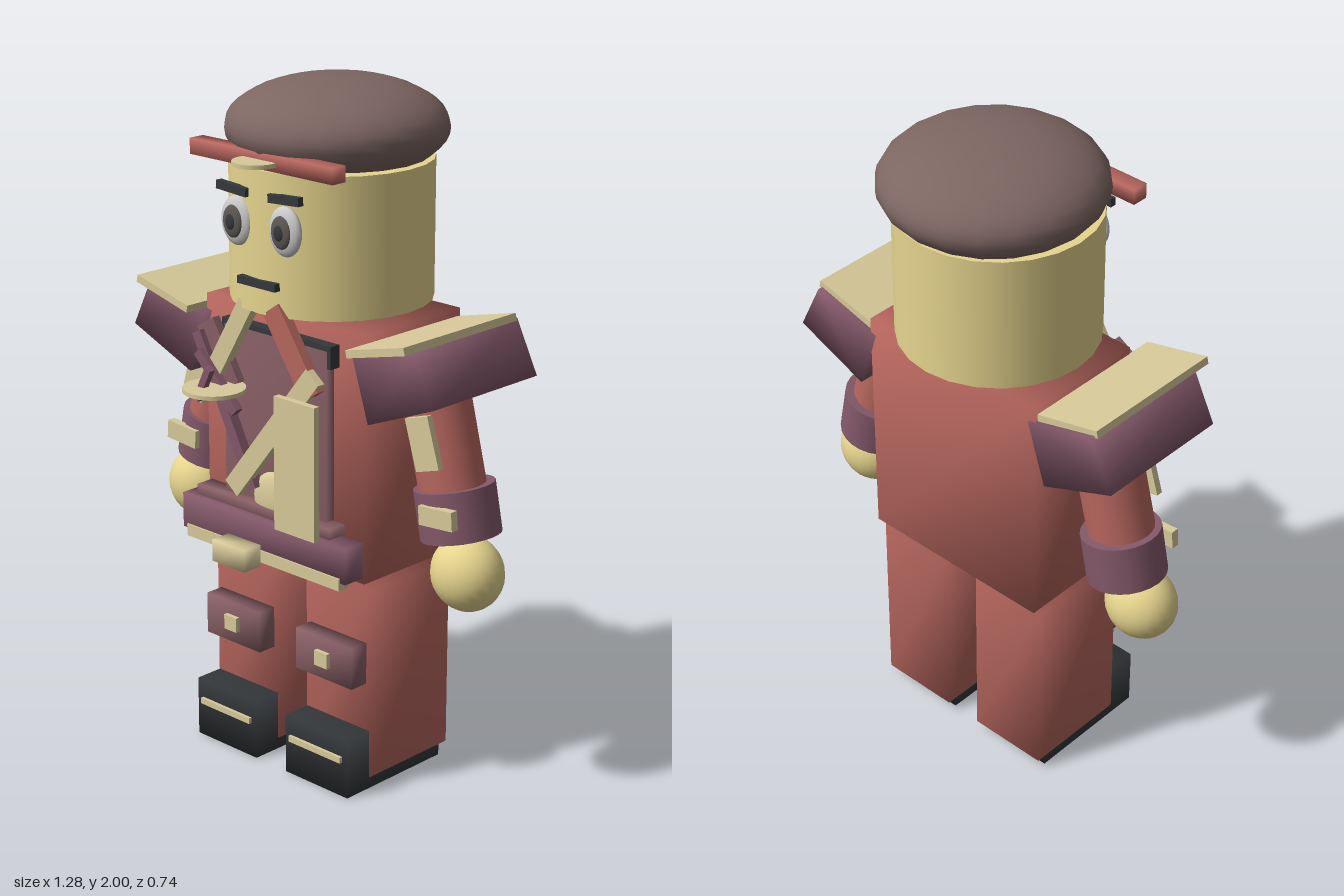
import * as THREE from 'three';
import { mergeVertices } from 'three/addons/utils/BufferGeometryUtils.js';

const material = (color) => new THREE.MeshStandardMaterial({ color });
const SKIN = material(0xe6d58e), GOLD = material(0xd8ca9a), RED = material(0xb8675f), PURPLE = material(0x84596a),
  MAUVE = material(0x875f65), BROWN = material(0x7d6662), DARK = material(0x35383b), WHITE = material(0xe6e6e6), GREY = material(0x5c5854);

// Welds corners so that the blocky parts shade softly
function soften(geometry) {
  geometry.deleteAttribute('normal');
  geometry.deleteAttribute('uv');
  const welded = mergeVertices(geometry, 1e-4);
  welded.computeVertexNormals();
  return welded;
}

export function createModel() {
  const model = new THREE.Group();

  const add = (name, geometry, mat, x, y, z, rotZ = 0) => {
    const mesh = new THREE.Mesh(geometry, mat);
    mesh.name = name;
    mesh.position.set(x, y, z);
    mesh.rotation.z = rotZ;
    model.add(mesh);
    return mesh;
  };
  const box = (name, mat, w, h, d, x, y, z, rotZ = 0) =>
    add(name, new THREE.BoxGeometry(w, h, d), mat, x, y, z, rotZ);
  const softBox = (name, mat, w, h, d, x, y, z, rotZ = 0) =>
    add(name, soften(new THREE.BoxGeometry(w, h, d)), mat, x, y, z, rotZ);
  const ball = (name, mat, rx, ry, rz, x, y, z) => {
    const mesh = add(name, new THREE.SphereGeometry(1, 24, 16), mat, x, y, z);
    mesh.scale.set(rx, ry, rz);
    return mesh;
  };
  const cylinder = (name, mat, r, h, x, y, z, rotZ = 0) =>
    add(name, new THREE.CylinderGeometry(r, r, h, 24), mat, x, y, z, rotZ);
  // Flat bar from one point to another at depth z
  const bar = (name, mat, [x1, y1], [x2, y2], width, depth, z) =>
    box(name, mat, Math.hypot(x2 - x1, y2 - y1), width, depth,
      (x1 + x2) / 2, (y1 + y2) / 2, z, Math.atan2(y2 - y1, x2 - x1));

  // Head and cap
  cylinder('head', SKIN, 0.288, 0.4, 0, 1.58, -0.035);
  const cap = add('cap', new THREE.SphereGeometry(1, 20, 14, 0, Math.PI * 2, 0, 2.18), BROWN, 0, 1.86, -0.055);
  cap.scale.set(0.315, 0.14, 0.315);
  add('capUnderside', new THREE.CircleGeometry(0.258, 20), BROWN, 0, 1.78, -0.055).rotation.x = Math.PI / 2;
  softBox('headband', RED, 0.545, 0.045, 0.05, 0, 1.805, 0.223);
  cylinder('headbandDisc', GOLD, 0.065, 0.012, 0, 1.803, 0.262);

  // Face
  for (const s of [-1, 1]) {
    ball('eyeWhite', WHITE, 0.058, 0.07, 0.024, s * 0.093, 1.625, 0.242);
    ball('iris', GREY, 0.036, 0.046, 0.012, s * 0.093, 1.625, 0.26);
    ball('pupil', DARK, 0.018, 0.023, 0.008, s * 0.093, 1.625, 0.268);
    box('eyebrow', DARK, 0.115, 0.024, 0.02, s * 0.1, 1.715, 0.25, s * 0.06);
  }
  box('mouth', DARK, 0.145, 0.022, 0.02, 0, 1.467, 0.255);

  // Torso and vest
  softBox('torso', RED, 0.62, 0.72, 0.385, 0, 1.0, -0.035);
  softBox('vest', MAUVE, 0.4, 0.54, 0.03, 0, 1.03, 0.18);
  box('collar', DARK, 0.425, 0.065, 0.04, 0, 1.283, 0.172);
  ball('bellyDisc', GOLD, 0.082, 0.082, 0.025, 0.01, 0.825, 0.205);

  // Straps and ornaments across the chest
  bar('leftStrap', RED, [0.04, 1.4], [0.19, 1.18], 0.07, 0.03, 0.235);
  bar('rightStrap', MAUVE, [-0.25, 1.3], [-0.15, 1.13], 0.075, 0.025, 0.21);
  bar('sash', GOLD, [0.2, 1.24], [-0.12, 0.84], 0.06, 0.025, 0.24);
  bar('rightLapel', GOLD, [-0.07, 1.39], [-0.22, 1.14], 0.055, 0.03, 0.225);
  bar('scabbard', PURPLE, [-0.27, 1.27], [-0.05, 0.85], 0.035, 0.03, 0.225);
  bar('scabbardTie', PURPLE, [-0.25, 1.22], [-0.1, 1.07], 0.03, 0.025, 0.245);
  box('chestPanel', GOLD, 0.155, 0.39, 0.02, 0.163, 0.975, 0.275);
  cylinder('handGuard', GOLD, 0.09, 0.012, -0.155, 1.135, 0.28);
  bar('guardGrip', PURPLE, [-0.2, 1.1], [-0.15, 1.2], 0.022, 0.02, 0.3);

  // Belt
  softBox('belt', PURPLE, 0.65, 0.105, 0.07, 0, 0.722, 0.215);
  softBox('waistWrap', MAUVE, 0.53, 0.05, 0.06, -0.02, 0.78, 0.2);
  box('beltCord', GOLD, 0.61, 0.036, 0.04, 0, 0.665, 0.235);
  softBox('buckle', GOLD, 0.13, 0.065, 0.065, -0.065, 0.668, 0.288);

  for (const s of [-1, 1]) {
    // Shoulder pad with a plate on top
    const outline = [[0.51, 1.37], [0.29, 1.31], [0.35, 1.125], [0.585, 1.22]]
      .map(([x, y]) => new THREE.Vector2(s * x, y));
    const pad = new THREE.ExtrudeGeometry(new THREE.Shape(outline), { depth: 0.425, bevelEnabled: false });
    add('shoulderPad', soften(pad), PURPLE, 0, 0, -0.235);
    box('shoulderPlate', GOLD, 0.215, 0.022, 0.455, s * 0.415, 1.352, 0.008, s * 0.24);

    // Arm, cuff and hand
    cylinder('arm', RED, 0.095, 0.42, s * 0.435, 1.02, -0.035, s * 0.25);
    box('armPlate', GOLD, 0.085, 0.15, 0.02, s * 0.445, 1.065, 0.068, s * 0.3);
    cylinder('cuff', PURPLE, 0.115, 0.145, s * 0.477, 0.853, -0.04, s * 0.2);
    box('cuffPlate', GOLD, 0.12, 0.055, 0.025, s * 0.505, 0.868, 0.075, s * 0.08);
    ball('hand', SKIN, 0.109, 0.109, 0.097, s * 0.532, 0.686, -0.022);

    // Leg, knee pad and shoe
    softBox('leg', RED, 0.25, 0.575, 0.33, s * 0.184, 0.322, -0.035);
    softBox('kneePad', MAUVE, 0.22, 0.125, 0.06, s * 0.184, 0.387, 0.16);
    box('kneeStud', GOLD, 0.05, 0.045, 0.02, s * 0.184, 0.387, 0.193);
    softBox('shoe', DARK, 0.246, 0.18, 0.39, s * 0.184, 0.09, 0.025);
    box('shoeStrap', GOLD, 0.205, 0.018, 0.016, s * 0.184, 0.115, 0.222);
  }
  return model;
}
